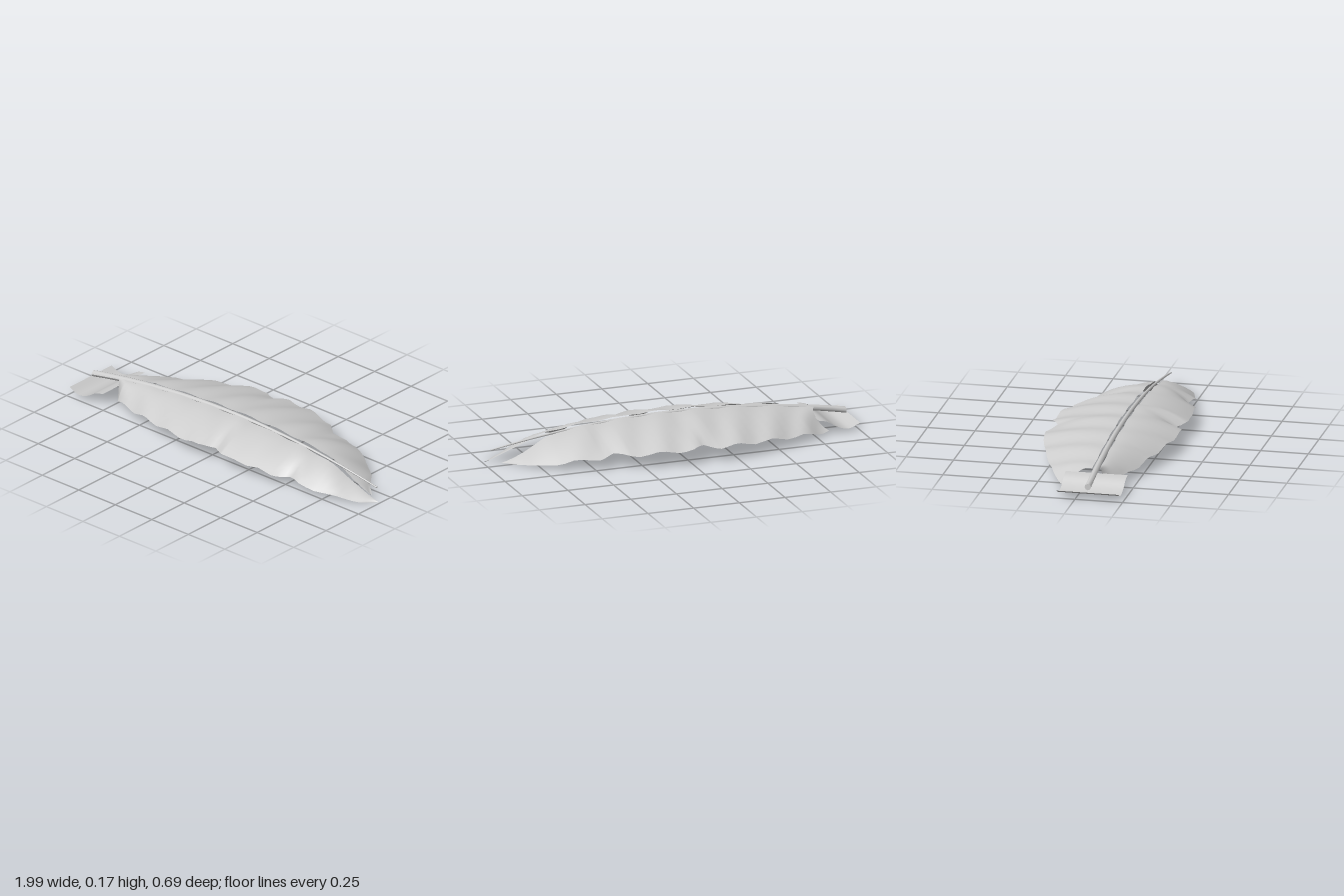
import * as THREE from 'three';

const { smoothstep, lerp } = THREE.MathUtils;
const QUILL_Z = 0.063;

// Smooth double-sided sheet from rows of points
function sheet(rows, material, name) {
  const n = rows[0].length, index = [];
  for (let i = 0; i < rows.length - 1; i++) {
    for (let j = 0; j < n - 1; j++) {
      const a = i * n + j, b = a + n;
      index.push(a, a + 1, b, b, a + 1, b + 1);
    }
  }
  const geo = new THREE.BufferGeometry();
  geo.setAttribute('position', new THREE.Float32BufferAttribute(rows.flat(2), 3));
  geo.setIndex(index);
  geo.computeVertexNormals();
  const mesh = new THREE.Mesh(geo, material);
  mesh.name = name;
  return mesh;
}

// Height of the vane: long arch, falling tip, drooping outer edge, soft barb ripples
function vaneHeight(x, v, tipShift) {
  const s = x + tipShift * smoothstep(x, 0.5, 0.9);
  const tip = smoothstep(s, 0.6, 1);
  const arch = 0.17 - 0.1 * s * s - 0.07 * tip;
  const droop = 0.08 * (1 - 0.8 * tip) * Math.pow(v, 1.7);
  const ripple = (0.004 + 0.005 * v) * (1 - tip) * (Math.sin(30 * (x - 0.12 * v)) - 0.7);
  return Math.max(0, arch - droop + ripple);
}

// One vane between a straight inner edge and an outline of [x, z] points
function vane(outline, innerZ, innerStart, innerEnd, tipShift, bow) {
  const rows = [], steps = 4, across = 8;
  const first = outline[0][0], last = outline[outline.length - 1][0];
  for (let i = 0; i < outline.length - 1; i++) {
    const end = i === outline.length - 2 ? steps : steps - 1;
    for (let k = 0; k <= end; k++) {
      const xo = lerp(outline[i][0], outline[i + 1][0], k / steps);
      const zo = lerp(outline[i][1], outline[i + 1][1], k / steps);
      const t = (xo - first) / (last - first);
      const xi = lerp(innerStart, innerEnd, t);
      const row = [];
      for (let j = 0; j <= across; j++) {
        const v = j / across;
        const x = lerp(xi, xo, v) + bow * (1 - smoothstep(t, 0, 0.15)) * Math.sin(Math.PI * v);
        row.push([x, vaneHeight(x, v, tipShift), lerp(innerZ, zo, v)]);
      }
      rows.push(row);
    }
  }
  return rows;
}

export function createModel() {
  const group = new THREE.Group();
  const grey = new THREE.MeshStandardMaterial({ color: 0xcccccc, side: THREE.DoubleSide });
  grey.name = 'feather grey';

  // Front vane, with two notches in its outer edge
  const front = [[-0.78, 0.1], [-0.72, 0.17], [-0.55, 0.235], [-0.4, 0.28], [-0.2, 0.325],
    [-0.02, 0.34], [0.06, 0.29], [0.14, 0.34], [0.45, 0.31], [0.53, 0.25], [0.61, 0.275],
    [0.78, 0.225], [0.92, 0.15], [0.99, 0.086]];
  group.add(sheet(vane(front, 0.085, -0.785, 0.985, 0, 0), grey, 'frontVane'));

  // Back vane, with a hollowed base
  const back = [[-0.83, -0.1], [-0.7, -0.18], [-0.5, -0.262], [-0.3, -0.322], [-0.15, -0.345],
    [-0.07, -0.3], [0, -0.345], [0.15, -0.335], [0.32, -0.3], [0.4, -0.23], [0.47, -0.25],
    [0.65, -0.19], [0.78, -0.1], [0.83, -0.03], [0.91, 0.044]];
  const backRows = vane(back, 0.045, -0.8, 0.905, 0.09, 0.035).reverse();
  group.add(sheet(backRows.reverse().map(r => r.reverse()), grey, 'backVane'));

  // Tapered quill bent along the arch
  const quillGeo = new THREE.CylinderGeometry(0.004, 0.017, 1.94, 8, 24);
  quillGeo.rotateZ(-Math.PI / 2);
  quillGeo.translate(-0.01, 0, QUILL_Z);
  const p = quillGeo.attributes.position;
  for (let i = 0; i < p.count; i++) {
    const x = p.getX(i);
    p.setY(i, p.getY(i) + 0.16 - 0.1 * x * x);
  }
  quillGeo.computeVertexNormals();
  const quill = new THREE.Mesh(quillGeo, grey);
  quill.name = 'quill';
  group.add(quill);

  // Small curled tuft sheet under the quill base
  const profile = new THREE.SplineCurve([[-1, 0.04], [-0.94, 0.016], [-0.88, 0.03],
    [-0.82, 0.065], [-0.775, 0.075]].map(([x, y]) => new THREE.Vector2(x, y)));
  const tuft = profile.getPoints(16).map(q => [[q.x, q.y, -0.098], [q.x, q.y, 0.226]]);
  group.add(sheet(tuft.map(r => r.reverse()).reverse(), grey, 'baseTuft'));

  return group;
}
